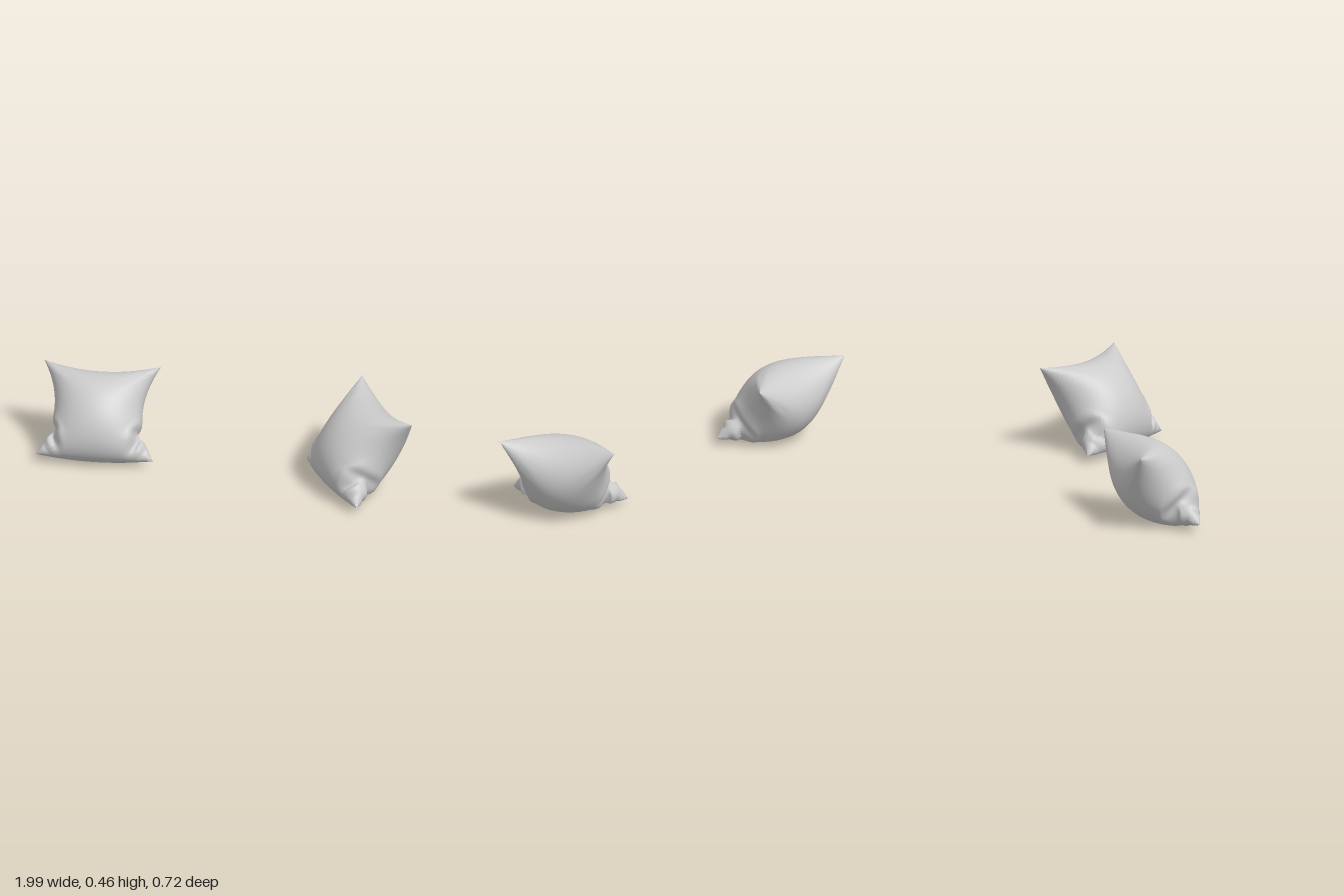
import * as THREE from 'three';
import { mergeGeometries, mergeVertices, toCreasedNormals } from 'three/addons/utils/BufferGeometryUtils.js';

const SEGMENTS = 64;
const gauss = (d, width) => Math.exp(-(d * d) / (width * width));

// One point of a stuffed cushion: u across, v up, side +1 front / -1 back
function cushionPoint(u, v, side, halfWidth, halfHeight) {
  const au = Math.abs(u);
  const iu = 1 - u * u, iv = 1 - v * v;

  // Seam outline: sides pulled in, top edge dips, bottom edge sags
  const pinch = 0.25 * iv + 0.1 * gauss(v + 0.47, 0.13) * au ** 4;
  const x = halfWidth * u * (1 - pinch);
  const s = halfHeight * (v - iu * (v > 0 ? 0.19 * v * v : 0.08 * v * v) - 0.07 * iu * iv);

  // Bulging faces
  let n = (side > 0 ? 0.18 : 0.2) * Math.sqrt(Math.max(iu * iv, 0));

  // Diagonal folds where the bottom corners are squeezed out into ears
  const d = v + 0.47 + 1.1 * (1 - au);
  const w = THREE.MathUtils.smoothstep(au, 0.5, 0.92);
  n *= 1 - w * (0.55 * gauss(d, 0.1) + 0.22 * gauss(d + 0.27, 0.06));
  n *= 1 + 0.15 * w * gauss(d - 0.22, 0.14);

  // Soft radiating creases at the top corners
  const top = gauss(v - 0.8, 0.25) * gauss(au - 0.75, 0.25);
  n += 0.004 * top * Math.sin(14 * (au - v)) * Math.sqrt(Math.max(iu * iv, 0));
  return [x, s, side * n];
}

function cushionGeometry({ halfWidth, halfHeight, lean, centreY, floor }) {
  const c = Math.cos(lean), k = Math.sin(lean);
  const sheets = [1, -1].map((side) => {
    const sheet = new THREE.PlaneGeometry(2, 2, SEGMENTS, SEGMENTS);
    sheet.deleteAttribute('uv');
    sheet.deleteAttribute('normal');
    const p = sheet.attributes.position;
    for (let i = 0; i < p.count; i++) {
      // Rows crowd towards the seam, where the surface turns fastest
      const u = Math.sin(p.getX(i) * side * Math.PI / 2);
      const v = Math.sin(p.getY(i) * Math.PI / 2);
      const [x, s, n] = cushionPoint(u, v, side, halfWidth, halfHeight);
      // Lean back, then flatten against the resting surface
      p.setXYZ(i, x, Math.max(centreY + s * c + n * k, floor), -s * k + n * c);
    }
    return sheet;
  });
  const body = mergeVertices(mergeGeometries(sheets), 1e-5);
  return toCreasedNormals(body, 1.0);
}

export function createModel() {
  const model = new THREE.Group();
  model.name = 'cushionPair';
  const fabric = new THREE.MeshStandardMaterial({ color: 0xcccccc });

  const cushions = [
    // Cushion leaning straight back, with a free rounded underside
    { name: 'rightCushion', x: -0.695, z: -0.16, turn: 0,
      shape: { halfWidth: 0.305, halfHeight: 0.25, lean: 0.7, centreY: 0.24, floor: 0 } },
    // Cushion turned sideways, resting on a flattened bottom
    { name: 'leftCushion', x: 0.69, z: 0.02, turn: -1.0,
      shape: { halfWidth: 0.305, halfHeight: 0.261, lean: 0.65, centreY: 0.25, floor: 0.04 } },
  ];
  for (const { name, x, z, turn, shape } of cushions) {
    const cushion = new THREE.Mesh(cushionGeometry(shape), fabric);
    cushion.name = name;
    cushion.position.set(x, 0, z);
    cushion.rotation.y = turn;
    model.add(cushion);
  }
  return model;
}
